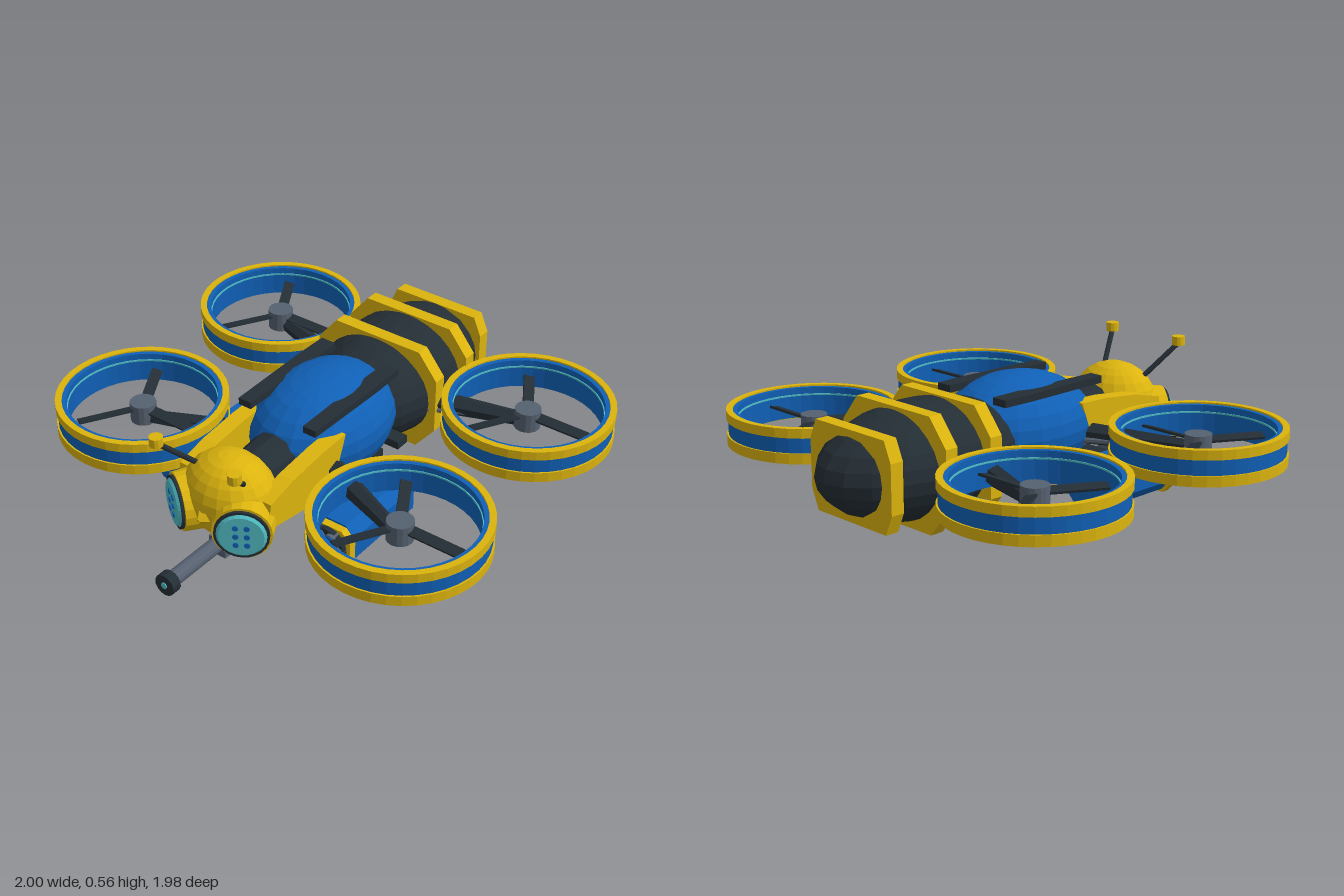
import * as THREE from 'three';

const mat = (name, color) => Object.assign(new THREE.MeshStandardMaterial({ color }), { name });

export function createModel() {
  const yellow = mat('yellow', 0xdcb40e);
  const blue = mat('blue', 0x1060b6);
  const dark = mat('charcoal', 0x242e35);
  const gray = mat('steel', 0x566170);
  const cyan = mat('cyan', 0x50bcc4);
  const root = new THREE.Group();
  root.name = 'beeDrone';

  // Adds a faceted mesh
  function add(parent, name, geo, material, x = 0, y = 0, z = 0) {
    const g = geo.index ? geo.toNonIndexed() : geo;
    g.computeVertexNormals();
    const m = new THREE.Mesh(g, material);
    m.name = name;
    m.position.set(x, y, z);
    parent.add(m);
    return m;
  }
  const group = (name, x, y, z) => {
    const g = new THREE.Group();
    g.name = name;
    g.position.set(x, y, z);
    root.add(g);
    return g;
  };
  const box = (w, h, d) => new THREE.BoxGeometry(w, h, d);
  const ellipsoid = (rx, ry, rz) => new THREE.SphereGeometry(1, 20, 14).scale(rx, ry, rz);
  // Cylinder along z; r1 is the front radius
  const zCyl = (r1, r2, len, n = 20) => new THREE.CylinderGeometry(r1, r2, len, n).rotateX(Math.PI / 2);
  // Square-section ring around y
  const ring = (r0, r1, y0, y1) => new THREE.LatheGeometry(
    [[r0, y0], [r1, y0], [r1, y1], [r0, y1], [r0, y0]].map(p => new THREE.Vector2(...p)), 40);
  // Tapered rod between two points
  function rod(parent, name, a, b, ra, rb, material, n = 8) {
    const A = new THREE.Vector3(...a), B = new THREE.Vector3(...b), d = B.clone().sub(A);
    const m = add(parent, name, new THREE.CylinderGeometry(rb, ra, d.length(), n), material);
    m.position.copy(A.add(B).multiplyScalar(0.5));
    m.quaternion.setFromUnitVectors(new THREE.Vector3(0, 1, 0), d.normalize());
    return m;
  }
  // Chamfered plate centred on z = 0: half sizes w,h and half flats fw,fh
  function octagon(w, h, fw, fh, depth) {
    const pts = [[fw, -h], [w, -fh], [w, fh], [fw, h], [-fw, h], [-w, fh], [-w, -fh], [-fw, -h]];
    const s = new THREE.Shape(pts.map(p => new THREE.Vector2(...p)));
    return new THREE.ExtrudeGeometry(s, { depth, bevelEnabled: false }).translate(0, 0, -depth / 2);
  }

  // Body
  add(root, 'abdomen', ellipsoid(0.28, 0.23, 0.48), dark, 0, 0.26, -0.51);
  add(root, 'thorax', ellipsoid(0.27, 0.22, 0.35), blue, 0, 0.29, 0);
  add(root, 'head', ellipsoid(0.2, 0.18, 0.165), yellow, 0, 0.27, 0.59);
  add(root, 'neck', zCyl(0.1, 0.12, 0.25, 12), dark, 0, 0.27, 0.38);
  add(root, 'nose', zCyl(0.005, 0.04, 0.04, 5), yellow, 0, 0.25, 0.76);

  // Abdomen stripes
  for (const [z, w, h, fw, fh] of [[-0.4, 0.3, 0.232, 0.21, 0.122],
    [-0.625, 0.3, 0.232, 0.21, 0.122], [-0.835, 0.236, 0.182, 0.2, 0.1]])
    add(root, 'abdomenBand', octagon(w, h, fw, fh, 0.058), yellow, 0, 0.26, z);

  // Chin gun
  add(root, 'gunMount', box(0.08, 0.08, 0.15), gray, 0, 0.058, 0.605);
  add(root, 'gunBracket', box(0.06, 0.06, 0.1), dark, 0, 0.115, 0.6);
  add(root, 'gunBarrel', zCyl(0.032, 0.032, 0.3, 14), gray, 0, 0.072, 0.8);
  add(root, 'gunMuzzle', zCyl(0.046, 0.046, 0.042, 14), dark, 0, 0.072, 0.965);
  add(root, 'muzzleLight', zCyl(0.014, 0.014, 0.006, 10), cyan, 0, 0.072, 0.987);

  for (const s of [1, -1]) {
    // Eye with rim, lens and facets, turned outward
    const eye = group('eye', s * 0.15, 0.228, 0.7);
    eye.rotation.y = s * 0.56;
    add(eye, 'eyeHousing', zCyl(0.118, 0.125, 0.1, 20), yellow, 0, 0, -0.03);
    add(eye, 'eyeRim', zCyl(0.108, 0.108, 0.016, 24), dark, 0, 0, 0.024);
    add(eye, 'eyeLens', zCyl(0.088, 0.1, 0.012, 24), cyan, 0, 0, 0.036);
    for (const x of [-0.022, 0.022]) for (const y of [-0.04, 0, 0.04])
      add(eye, 'eyeFacet', zCyl(0.012, 0.012, 0.006, 8), blue, x, y, 0.043);

    // Antenna
    rod(root, 'antennaRod', [s * 0.115, 0.395, 0.645], [s * 0.19, 0.53, 0.78], 0.011, 0.011, dark);
    add(root, 'antennaTip', new THREE.CylinderGeometry(0.028, 0.028, 0.038, 12), yellow, s * 0.19, 0.541, 0.78);

    // Shoulder plate linking thorax and head
    const side = new THREE.Shape([[-0.15, 0.39], [-0.3, 0.385], [-0.48, 0.365], [-0.62, 0.33],
      [-0.64, 0.22], [-0.4, 0.18], [-0.2, 0.26]].reverse().map(p => new THREE.Vector2(...p)));
    const plate = new THREE.ExtrudeGeometry(side, { depth: 0.07, bevelEnabled: false })
      .translate(0, 0, -0.035).rotateY(Math.PI / 2);
    add(root, 'shoulderPlate', plate, yellow, s * 0.19, 0, 0);

    // Folded wing on the back
    const wing = new THREE.Shape([[-0.03, -0.3], [0.03, -0.3], [0.038, 0.1], [0.035, 0.25], [-0.035, 0.25], [-0.038, 0.1]]
      .map(p => new THREE.Vector2(...p)));
    add(root, 'foldedWing', new THREE.ExtrudeGeometry(wing, { depth: 0.03, bevelEnabled: false })
      .rotateX(-Math.PI / 2), dark, s * 0.16, 0.442, 0);

    // Belly clamps
    for (const z of [-0.04, -0.175])
      add(root, 'bellyClamp', box(0.1, 0.035, 0.065), dark, s * (z < -0.1 ? 0.225 : 0.2), 0.183, z);

    // Launcher pod with clustered tubes
    const pod = group('launcherPod', s * 0.37, 0.108, 0);
    add(pod, 'podBody', octagon(0.097, 0.094, 0.055, 0.05, 0.4), blue, 0, 0, 0.22);
    add(pod, 'podCollar', octagon(0.1, 0.096, 0.06, 0.055, 0.035), yellow, 0, -0.01, 0.435);
    add(pod, 'podCore', zCyl(0.085, 0.085, 0.03, 16), dark, 0, 0, 0.46);
    for (let i = 0; i < 7; i++) {
      const r = i ? 0.057 : 0, a = i * Math.PI / 3;
      add(pod, 'podTube', zCyl(0.028, 0.028, 0.05, 10), gray, r * Math.cos(a), r * Math.sin(a), 0.465);
      add(pod, 'podWarhead', zCyl(0.024, 0.024, 0.006, 10), blue, r * Math.cos(a), r * Math.sin(a), 0.492);
    }
    add(root, 'podPylon', box(0.12, 0.05, 0.16), dark, s * 0.24, 0.17, 0.15);

    // Ducted rotors, front and rear
    for (const [z, root0] of [[0.375, [s * 0.18, 0.25, 0.2]], [-0.537, [s * 0.22, 0.25, -0.41]]]) {
      const duct = group(z > 0 ? 'frontRotor' : 'rearRotor', s * 0.644, 0, z);
      add(duct, 'ductLiner', ring(0.31, 0.335, 0.208, 0.338), blue);
      add(duct, 'ductStripe', ring(0.33, 0.349, 0.24, 0.31), blue);
      add(duct, 'ductLowerBand', ring(0.329, 0.356, 0.2, 0.243), yellow);
      add(duct, 'ductUpperBand', ring(0.329, 0.356, 0.306, 0.345), yellow);
      add(duct, 'ductLight', ring(0.306, 0.312, 0.304, 0.311), cyan);
      add(duct, 'hub', new THREE.CylinderGeometry(0.055, 0.055, 0.085, 16), gray, 0, 0.265, 0);
      for (let i = 0; i < 3; i++) {
        const blade = box(0.24, 0.01, 0.046).rotateX(0.25).translate(0.155, 0, 0);
        add(duct, 'blade', blade, dark, 0, 0.28, 0).rotation.y = i * Math.PI * 2 / 3;
      }
      // Support arm and brace
      const end = [s * 0.62, 0.245, z];
      rod(root, 'rotorArm', root0, end, 0.05, 0.03, dark, 6);
      const off = z > 0 ? -0.05 : 0.05;
      rod(root, 'armBrace', [root0[0], 0.23, root0[2] + off], [s * 0.6, 0.24, z], 0.012, 0.012, gray);
    }
  }
  return root;
}
